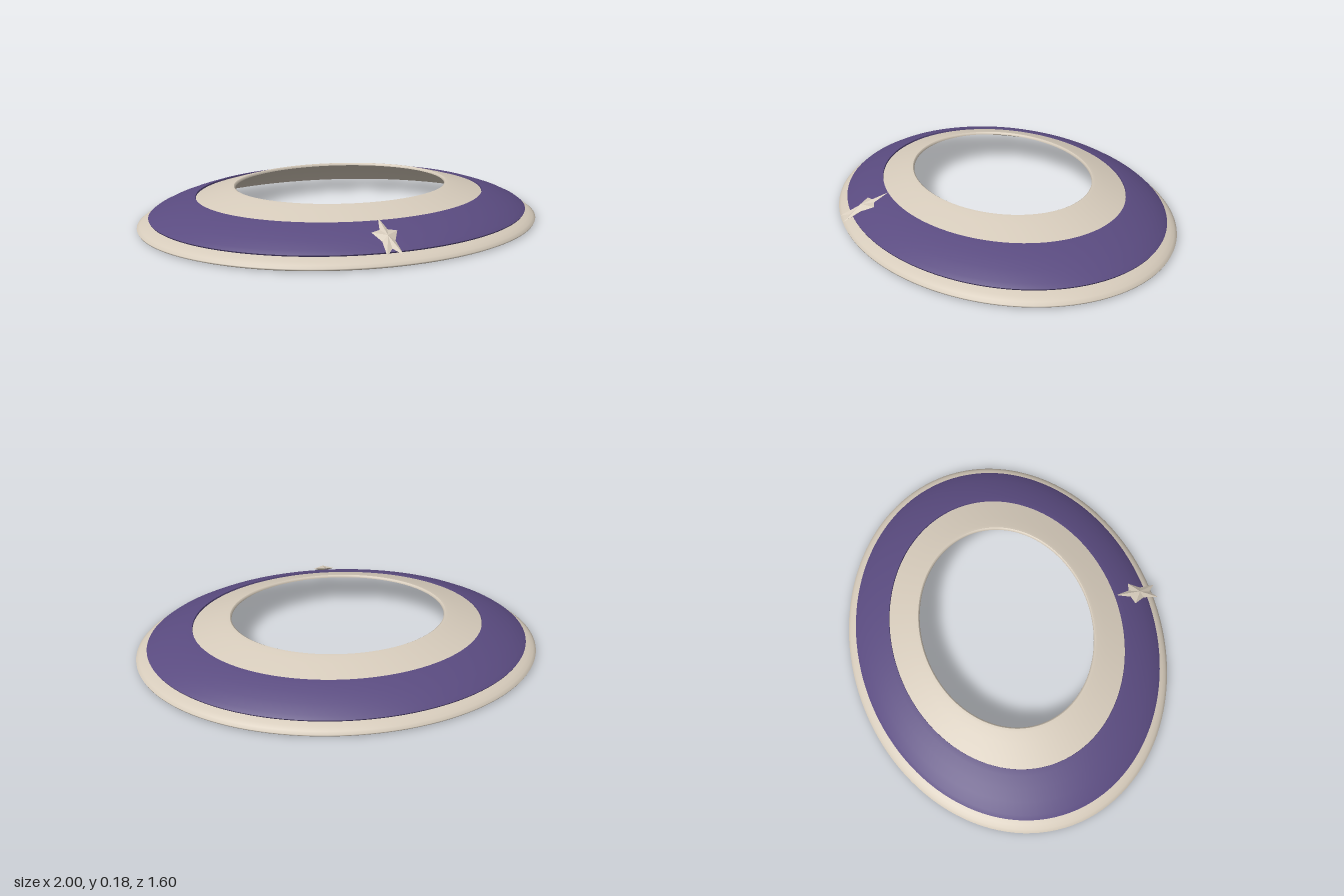
import * as THREE from 'three';

const cream = new THREE.MeshStandardMaterial({ color: 0xd6cbbb });
cream.name = 'warm cream';
const purple = new THREE.MeshStandardMaterial({ color: 0x5a4b80 });
purple.name = 'deep purple';

const DEPTH = 0.797; // front-to-back squash of the oval
const SHIFT = -0.01; // oval sits slightly behind the star

// Oval surface swept from a radius/height profile
function ovalRing(name, material, profile) {
  const points = profile.map(([r, y]) => new THREE.Vector2(r, y));
  const geometry = new THREE.LatheGeometry(points, 128);
  geometry.scale(1, 1, DEPTH);
  geometry.translate(0, 0, SHIFT);
  const mesh = new THREE.Mesh(geometry, material);
  mesh.name = name;
  return mesh;
}

// Faceted five-pointed star with a raised centre on both sides
function starGeometry(width, height, bulge) {
  const rim = [];
  for (let i = 0; i < 10; i++) {
    const r = i % 2 ? 0.5 : 1;
    const a = Math.PI / 2 + (i * Math.PI) / 5;
    rim.push([Math.cos(a) * r * width, Math.sin(a) * r * height, 0]);
  }
  const positions = [];
  for (let i = 0; i < 10; i++) {
    const a = rim[i], b = rim[(i + 1) % 10];
    positions.push(...a, ...b, 0, 0, bulge);
    positions.push(...b, ...a, 0, 0, -bulge);
  }
  const geometry = new THREE.BufferGeometry();
  geometry.setAttribute('position', new THREE.Float32BufferAttribute(positions, 3));
  geometry.computeVertexNormals();
  return geometry;
}

export function createModel() {
  const model = new THREE.Group();
  model.name = 'ovalCollar';

  // Cream shell: underside, outer rim, top slope and inner lip
  model.add(ovalRing('underside', cream, [[0.527, 0.166], [0.65, 0.133], [0.78, 0.094], [0.89, 0.05], [0.95, 0.018], [0.985, 0]]));
  model.add(ovalRing('outerRim', cream, [[0.985, 0], [0.997, 0.005], [1, 0.012], [0.985, 0.023], [0.965, 0.035], [0.93, 0.045]]));
  model.add(ovalRing('topSlope', cream, [[0.73, 0.127], [0.66, 0.147], [0.6, 0.163], [0.55, 0.176], [0.535, 0.178]]));
  model.add(ovalRing('innerLip', cream, [[0.535, 0.178], [0.528, 0.174], [0.527, 0.166]]));

  // Raised purple band with thin edges
  model.add(ovalRing('bandLowerEdge', purple, [[0.925, 0.045], [0.942, 0.048], [0.945, 0.054]]));
  model.add(ovalRing('band', purple, [[0.945, 0.054], [0.925, 0.068], [0.87, 0.094], [0.81, 0.115], [0.75, 0.133], [0.72, 0.138]]));
  model.add(ovalRing('bandUpperEdge', purple, [[0.72, 0.138], [0.718, 0.128]]));

  // Star leaning along the front slope
  const star = new THREE.Mesh(starGeometry(0.06, 0.137, 0.016), cream);
  star.name = 'starBadge';
  star.position.set(0, 0.099, 0.694);
  star.rotation.x = -Math.PI / 2 + Math.atan2(0.095, 0.23);
  model.add(star);

  return model;
}
